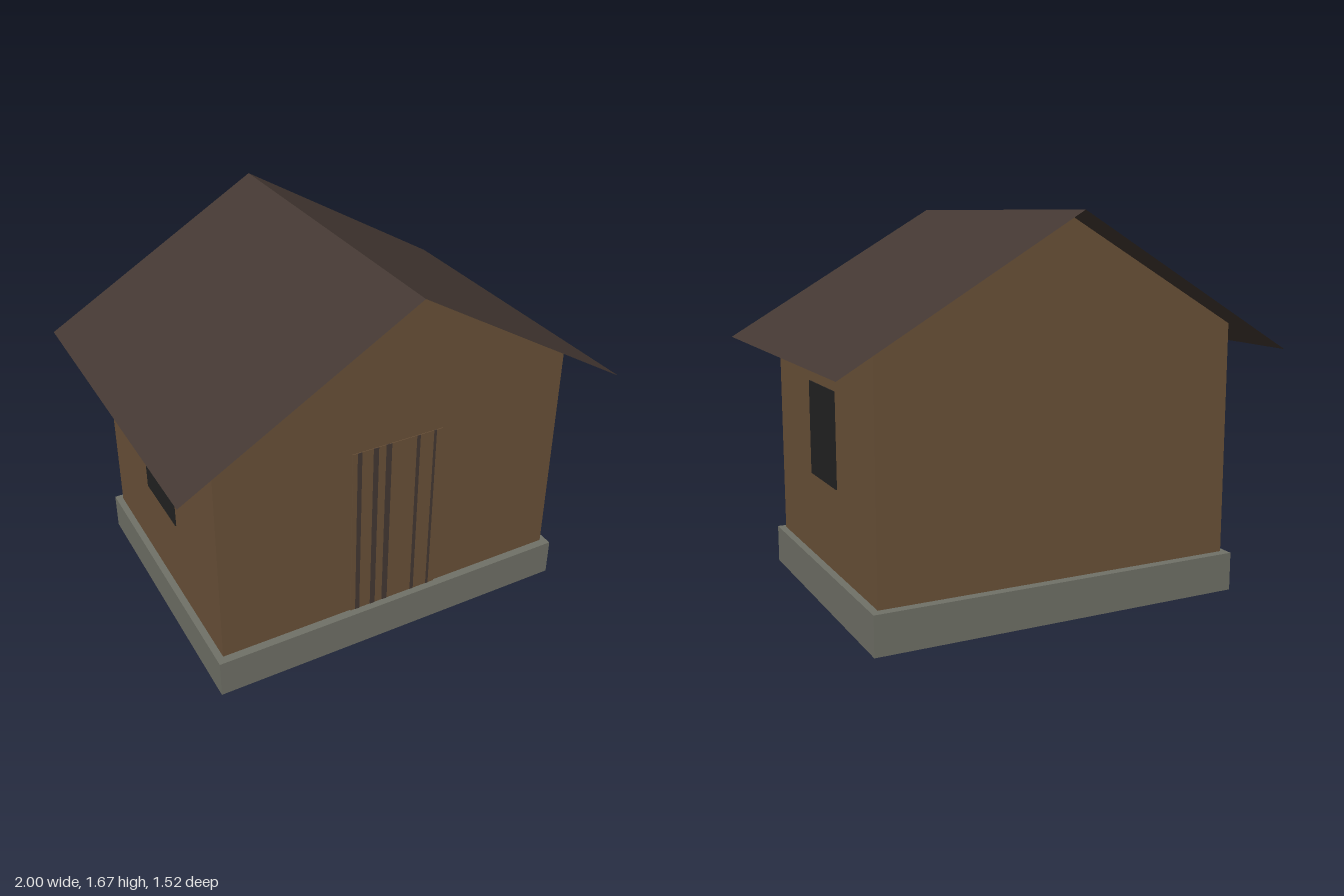
import * as THREE from 'three';

const material = (name, color, side = THREE.FrontSide) => {
  const m = new THREE.MeshStandardMaterial({ color, side });
  m.name = name;
  return m;
};

export function createModel() {
  const group = new THREE.Group();
  const wood = material('brown wood', 0x6b5239);
  const dark = material('dark roof wood', 0x453933, THREE.DoubleSide);
  const stone = material('grey stone', 0x717268, THREE.DoubleSide);
  const glass = material('black glass', 0x232323);

  const add = (name, geometry, mat, x = 0, y = 0, z = 0) => {
    const mesh = new THREE.Mesh(geometry, mat);
    mesh.name = name;
    mesh.position.set(x, y, z);
    group.add(mesh);
    return mesh;
  };

  // Foundation: a box shell without its underside
  const shell = new THREE.BoxGeometry(1.68, 0.17, 1.31);
  const index = Array.from(shell.index.array);
  index.splice(18, 6);
  shell.setIndex(index);
  shell.clearGroups();
  add('foundation', shell, stone, 0, 0.085);

  // Walls with both gables
  const outline = new THREE.Shape([
    [-0.81, 0.172], [0.81, 0.172], [0.81, 1.19], [0, 1.66], [-0.81, 1.19],
  ].map(([x, y]) => new THREE.Vector2(x, y)));
  add('walls', new THREE.ExtrudeGeometry(outline, { depth: 1.24, bevelEnabled: false }), wood, 0, 0, -0.62);

  // Roof: two thin sloping sheets meeting at the ridge
  const rise = 0.587;
  for (const side of [-1, 1]) {
    const sheet = new THREE.PlaneGeometry(Math.hypot(1, rise), 1.524);
    sheet.rotateX(-Math.PI / 2);
    sheet.rotateZ(-side * Math.atan(rise));
    add(side > 0 ? 'leftRoof' : 'rightRoof', sheet, dark, side * 0.5, 1.67 - rise / 2);

    // Window in each side wall
    add(side > 0 ? 'leftWindow' : 'rightWindow',
      new THREE.BoxGeometry(0.006, 0.41, 0.335), glass, side * 0.811, 0.742);
  }

  // Door, reaching down inside the foundation, with narrow dark gaps between planks
  add('door', new THREE.BoxGeometry(0.424, 0.94, 0.006), wood, 0, 0.51, 0.62);
  [[-0.18, 0.02], [-0.105, 0.024], [-0.045, 0.026], [0.095, 0.016], [0.175, 0.012]].forEach(([x, w]) =>
    add('doorGap', new THREE.BoxGeometry(w, 0.81, 0.004), dark, x, 0.575, 0.6225));

  return group;
}
